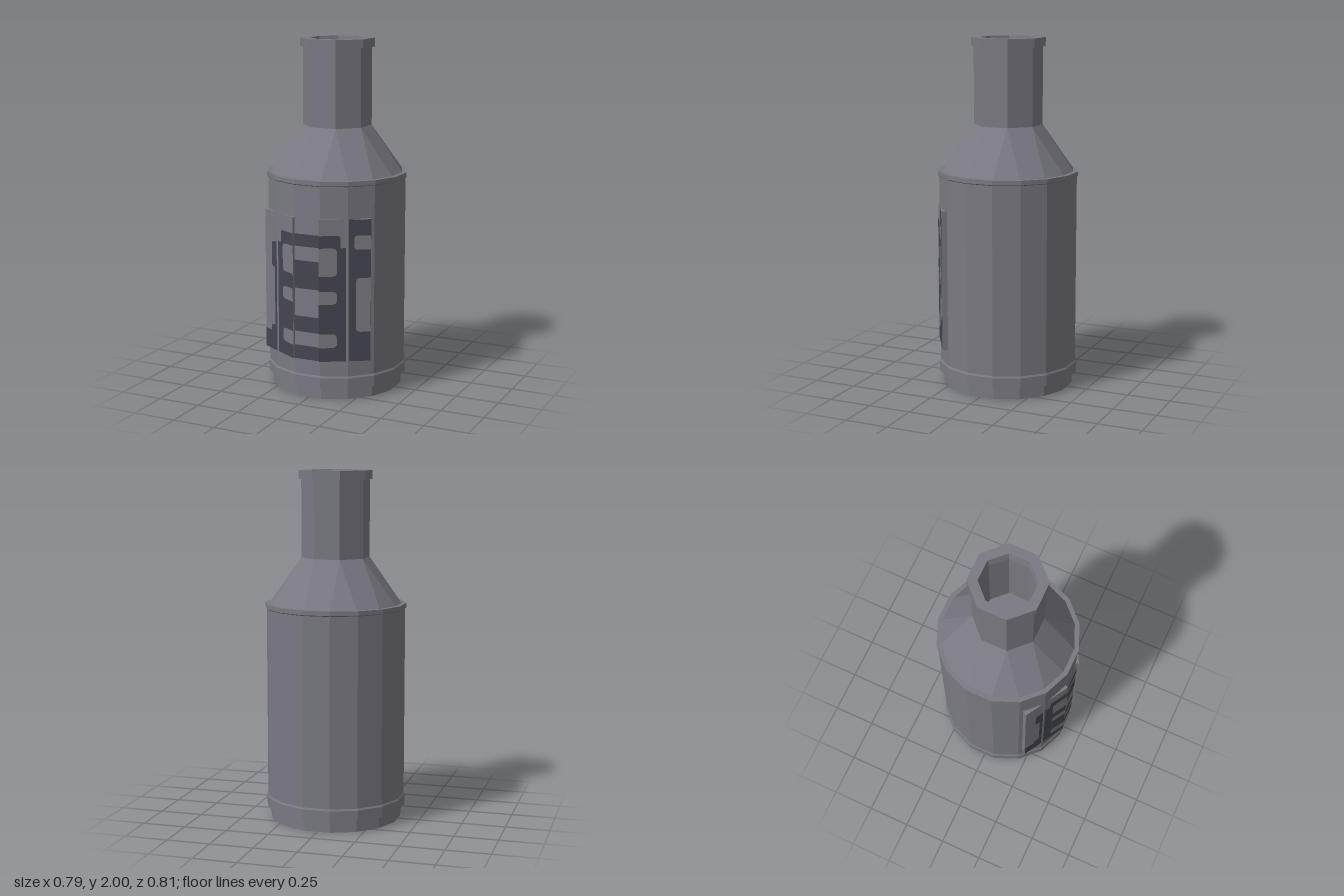
import * as THREE from 'three';

const glass = new THREE.MeshStandardMaterial({ color: 0x7a7982 });
glass.name = 'grey';
const ink = new THREE.MeshStandardMaterial({ color: 0x454550 });
ink.name = 'darkGrey';

const AXIS_Z = -0.008;

// Facet a geometry so every face keeps a hard edge
function facet(geo) {
  const g = geo.index ? geo.toNonIndexed() : geo;
  g.computeVertexNormals();
  return g;
}

function addMesh(group, name, geo, material) {
  const mesh = new THREE.Mesh(facet(geo), material);
  mesh.name = name;
  group.add(mesh);
  return mesh;
}

// Prism-like turned part; the profile holds [apothem, y] pairs, flats face the axes
function turned(profile, sides) {
  const k = 1 / Math.cos(Math.PI / sides);
  const pts = profile.map(([r, y]) => new THREE.Vector2(r * k, y));
  return new THREE.LatheGeometry(pts, sides, Math.PI / sides);
}

// Shoulder: zigzag of triangles from the 16-sided body to the 8-sided neck
function shoulderGeometry(r0, y0, r1, y1) {
  const step = Math.PI / 8, out = [];
  const low = (i) => {
    const a = (i + 0.5) * step, r = r0 / Math.cos(step / 2);
    return [r * Math.sin(a), y0, r * Math.cos(a)];
  };
  const high = (i) => {
    const a = i * step, r = i % 2 ? r1 / Math.cos(step) : r1;
    return [r * Math.sin(a), y1, r * Math.cos(a)];
  };
  for (let i = 0; i < 16; i++) {
    out.push(...low(i - 1), ...low(i), ...high(i));
    out.push(...low(i), ...high(i + 1), ...high(i));
  }
  const g = new THREE.BufferGeometry();
  g.setAttribute('position', new THREE.Float32BufferAttribute(out, 3));
  return g;
}

// Label surface: flat middle, two angled wings
const FOLD = 0.08;
function labelZ(x, wing) {
  return wing ? 0.402 - (Math.abs(x) - FOLD) * 0.59 : 0.391;
}

// Thin label patch, corners rounded by rl on its left and rr on its right
function patch(group, name, [x0, x1, y0, y1, rl = 0, rr = 0], lift, material) {
  const s = new THREE.Shape();
  s.moveTo(x0 + rl, y0);
  s.lineTo(x1 - rr, y0);
  if (rr) s.quadraticCurveTo(x1, y0, x1, y0 + rr);
  s.lineTo(x1, y1 - rr);
  if (rr) s.quadraticCurveTo(x1, y1, x1 - rr, y1);
  s.lineTo(x0 + rl, y1);
  if (rl) s.quadraticCurveTo(x0, y1, x0, y1 - rl);
  s.lineTo(x0, y0 + rl);
  if (rl) s.quadraticCurveTo(x0, y0, x0 + rl, y0);
  const g = new THREE.ShapeGeometry(s, 4);
  const wing = Math.abs(x0 + x1) / 2 > FOLD;
  const p = g.attributes.position;
  for (let i = 0; i < p.count; i++) p.setZ(i, labelZ(p.getX(i), wing) + lift);
  addMesh(group, name, g, material);
}

export function createModel() {
  const model = new THREE.Group();
  const bottle = new THREE.Group();
  bottle.name = 'bottle';
  bottle.position.z = AXIS_Z;
  model.add(bottle);

  // Body with foot, lower band and upper rim
  addMesh(bottle, 'body', turned([
    [0, 0], [0.372, 0], [0.372, 0.07], [0.396, 0.07], [0.396, 0.13], [0.39, 0.14],
    [0.39, 1.22], [0.396, 1.225], [0.396, 1.25], [0.368, 1.25],
  ], 16), glass);

  addMesh(bottle, 'shoulder', shoulderGeometry(0.37, 1.25, 0.18, 1.51), glass);

  // Hollow neck with a lip
  addMesh(bottle, 'neck', turned([
    [0.18, 1.5], [0.18, 1.95], [0.194, 1.95], [0.194, 2], [0.142, 2],
    [0.134, 1.95], [0.134, 1.5], [0, 1.5],
  ], 8), glass);

  const label = new THREE.Group();
  label.name = 'label';
  model.add(label);

  // Label backing: middle face and two thick wings
  patch(label, 'labelMiddle', [-FOLD, FOLD, 0.23, 1.04], 0, glass);
  for (const side of [-1, 1]) {
    const s = new THREE.Shape([
      [FOLD, 0.402], [0.33, 0.2545], [0.313, 0.228], [0.067, 0.375],
    ].map(([x, z]) => new THREE.Vector2(side * x, -z)));
    const g = new THREE.ExtrudeGeometry(s, { depth: 0.81, bevelEnabled: false });
    g.rotateX(-Math.PI / 2);
    g.translate(0, 0.23, 0);
    addMesh(label, side < 0 ? 'rightWing' : 'leftWing', g, glass);
  }

  // Dark bands on the middle face
  const bands = [[0.88, 0.95], [0.64, 0.8], [0.39, 0.48], [0.23, 0.31]];
  for (const [y0, y1] of bands) patch(label, 'middleBand', [-FOLD, FOLD, y0, y1], 0.002, ink);

  // Dark blocks beside the middle, with pale rounded windows
  const windows = [[0.72, 0.88], [0.56, 0.635], [0.31, 0.39]];
  for (const side of [-1, 1]) {
    const span = (a, b, y0, y1, r = 0) => side < 0
      ? [-b, -a, y0, y1, r, 0] : [a, b, y0, y1, 0, r];
    patch(label, 'innerBlock', span(FOLD, 0.215, 0.23, 0.88), 0.002, ink);
    patch(label, 'innerBlockTop', span(FOLD, 0.185, 0.87, 0.95, 0.02), 0.0025, ink);
    for (const [y0, y1] of windows) {
      patch(label, 'paleWindow', span(FOLD, 0.168, y0, y1, 0.025), 0.004, glass);
    }
  }

  // Outer ends of the label
  patch(label, 'rightEndUpper', [-0.27, -0.225, 0.72, 0.87, 0.02], 0.002, ink);
  patch(label, 'rightEndStrip', [-0.243, -0.225, 0.23, 0.8], 0.0025, ink);
  patch(label, 'rightEndLower', [-0.33, -0.225, 0.23, 0.34], 0.002, ink);
  patch(label, 'rightEndCorner', [-0.275, -0.225, 0.32, 0.38, 0.02], 0.003, ink);
  patch(label, 'leftEnd', [0.225, 0.33, 0.23, 1.04], 0.002, ink);
  patch(label, 'leftEndUpperWindow', [0.25, 0.33, 0.87, 0.95, 0.02], 0.004, glass);
  patch(label, 'leftEndLowerWindow', [0.26, 0.33, 0.4, 0.71, 0.02], 0.004, glass);

  return model;
}
